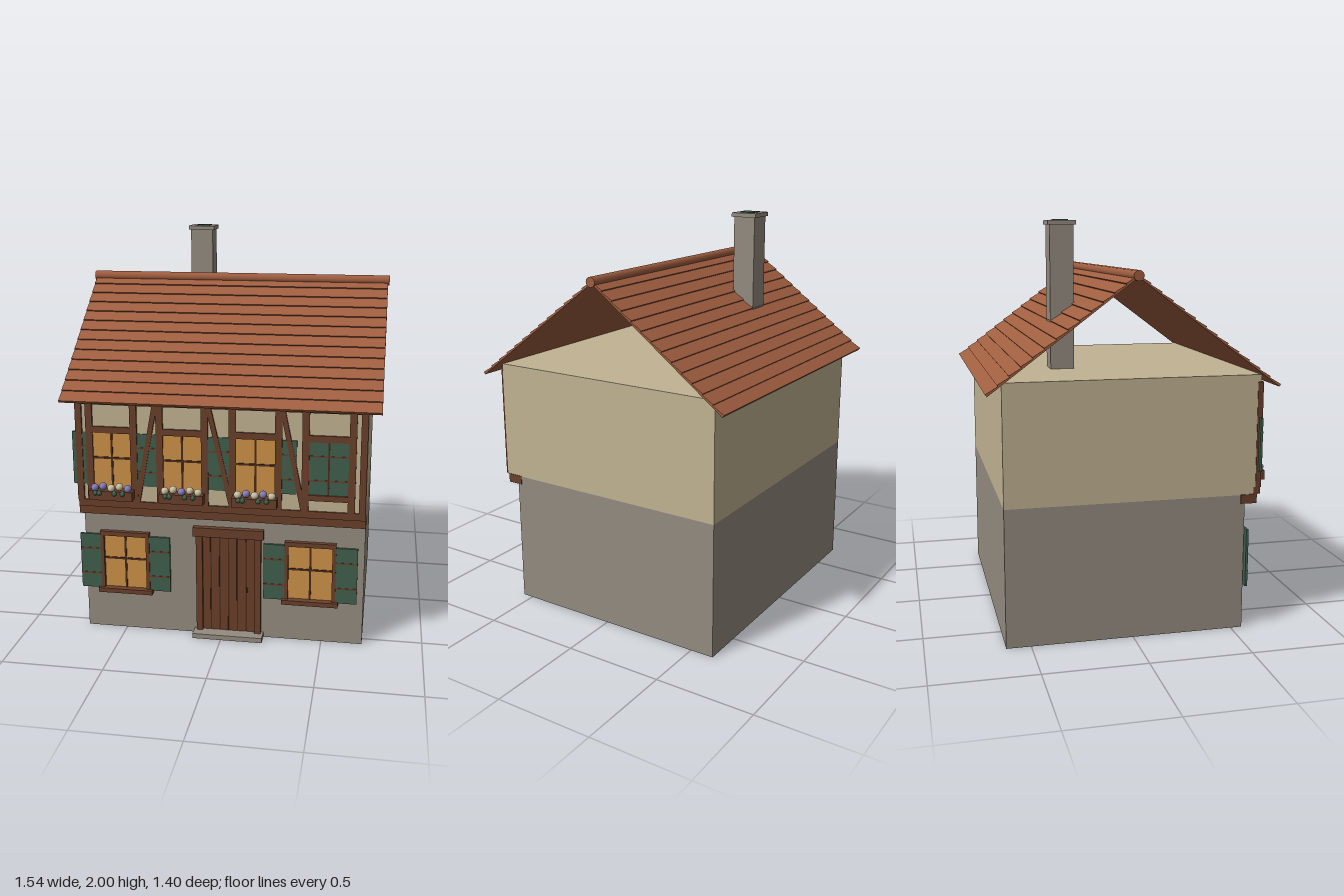
import * as THREE from 'three';

const mat = (name, color) => {
  const m = new THREE.MeshStandardMaterial({ color });
  m.name = name;
  return m;
};

export function createModel() {
  const stone = mat('stone', 0x948c80);
  const plaster = mat('plaster', 0xc2b493);
  const timber = mat('timber', 0x6b402b);
  const darkWood = mat('dark wood', 0x4a2b1c);
  const tile = mat('roof tile', 0xa05e40);
  const green = mat('shutter green', 0x41604e);
  const glass = mat('lit glass', 0xcf9349);
  const violet = mat('violet petals', 0x857cb8);
  const cream = mat('cream petals', 0xcbc0a2);

  const house = new THREE.Group();
  house.name = 'timberFramedHouse';

  const group = (name) => {
    const g = new THREE.Group();
    g.name = name;
    house.add(g);
    return g;
  };
  // Box given by its limits on each axis
  const box = (parent, name, m, x0, x1, y0, y1, z0, z1) => {
    const mesh = new THREE.Mesh(new THREE.BoxGeometry(x1 - x0, y1 - y0, z1 - z0), m);
    mesh.position.set((x0 + x1) / 2, (y0 + y1) / 2, (z0 + z1) / 2);
    mesh.name = name;
    parent.add(mesh);
    return mesh;
  };

  const zLow = 0.557, zUp = 0.626; // front wall planes

  // Walls
  box(house, 'groundFloor', stone, -0.703, 0.703, 0, 0.68, -0.62, zLow);
  box(house, 'upperFloor', plaster, -0.703, 0.703, 0.68, 1.27, -0.62, zUp);

  // Roof: two slopes with stepped tile courses
  const courses = 13, ridgeY = 1.745;
  const along = new THREE.Vector2(0.695, -0.522);
  const up = new THREE.Vector2(0.6, 0.8);
  const at = (t, h) => new THREE.Vector2(0, ridgeY).addScaledVector(along, t).addScaledVector(up, h);
  const profile = [at(0, -0.006)];
  profile.push(at(1, -0.006));
  for (let i = courses; i > 0; i--) profile.push(at(i / courses, 0.008), at((i - 1) / courses, 0.001));
  const slopeGeo = new THREE.ExtrudeGeometry(new THREE.Shape(profile), { depth: 1.525, bevelEnabled: false });
  slopeGeo.translate(0, 0, -0.7625).rotateY(-Math.PI / 2);
  for (const [name, turn] of [['frontRoof', 0], ['backRoof', Math.PI]]) {
    const slope = new THREE.Mesh(slopeGeo, tile);
    slope.name = name;
    slope.rotation.y = turn;
    house.add(slope);
  }
  const ridge = new THREE.Mesh(new THREE.CylinderGeometry(0.025, 0.025, 1.54, 12), tile);
  ridge.name = 'roofRidge';
  ridge.rotation.z = Math.PI / 2;
  ridge.position.y = ridgeY;
  house.add(ridge);

  // Chimney
  const chimney = group('chimney');
  box(chimney, 'chimneyStack', stone, -0.298, -0.18, 1.27, 1.975, -0.325, -0.207);
  box(chimney, 'chimneyCap', stone, -0.308, -0.17, 1.975, 1.996, -0.335, -0.197);
  box(chimney, 'flue', green, -0.276, -0.202, 1.99, 2, -0.303, -0.229);

  // Horizontal beams of the frame
  const frame = group('timberFrame');
  box(frame, 'jettyBeam', timber, -0.708, 0.705, 0.637, 0.682, 0.535, 0.617);
  box(frame, 'sillBeam', timber, -0.703, 0.703, 0.682, 0.717, 0.6, 0.635);
  box(frame, 'topPlate', timber, -0.703, 0.703, 1.2, 1.235, 0.61, 0.634);
  for (const x of [-0.69, 0.685]) box(frame, 'cornerPost', timber, x - 0.016, x + 0.016, 0.717, 1.235, 0.61, 0.637);

  // Diagonal braces
  for (const [xTop, xBottom] of [[-0.308, -0.405], [-0.055, 0.06], [0.3, 0.405]]) {
    const y0 = 0.717, y1 = 1.225;
    const brace = new THREE.Mesh(new THREE.BoxGeometry(0.024, Math.hypot(xTop - xBottom, y1 - y0), 0.012), timber);
    brace.name = 'brace';
    brace.position.set((xTop + xBottom) / 2, (y0 + y1) / 2, 0.63);
    brace.rotation.z = -Math.atan2(xTop - xBottom, y1 - y0);
    frame.add(brace);
  }

  // Shutter panel with two thin battens
  const shutter = (parent, x0, x1, y0, y1, z) => {
    box(parent, 'shutter', green, x0, x1, y0, y1, z - 0.006, z + 0.006);
    for (const f of [0.27, 0.73]) {
      const y = y0 + (y1 - y0) * f;
      box(parent, 'shutterBatten', timber, x0, x1, y - 0.004, y + 0.004, z, z + 0.008);
    }
  };
  // Pane with thin cross bars
  const pane = (parent, x, half, y0, y1, z) => {
    const mid = (y0 + y1) / 2 + 0.015, b = 0.005;
    box(parent, 'glass', glass, x - half, x + half, y0, y1, z, z + 0.004);
    box(parent, 'mullion', darkWood, x - b, x + b, y0, y1, z, z + 0.008);
    box(parent, 'crossBar', darkWood, x - half, x + half, mid - b, mid + b, z, z + 0.008);
  };

  // Upper windows
  const flowerColours = [[violet, violet, cream, cream, violet], [cream, cream, violet, cream, cream], [cream, violet, cream, violet, cream]];
  const petalGeo = new THREE.IcosahedronGeometry(0.019, 2);
  const leafGeo = new THREE.IcosahedronGeometry(0.014, 2);
  [-0.528, -0.18, 0.175, 0.523].forEach((x, i) => {
    const w = group('upperWindow');
    for (const s of [-1, 1]) {
      const px = x + s * 0.11;
      box(w, 'post', timber, px - 0.017, px + 0.017, 0.717, 1.235, 0.61, 0.637);
    }
    box(w, 'lintel', timber, x - 0.1, x + 0.1, 1.06, 1.092, 0.61, 0.636);
    if (i === 3) {
      // Closed window
      for (const s of [0, 1]) shutter(w, x - 0.093 + s * 0.096, x - 0.003 + s * 0.096, 0.8, 1.06, zUp);
      box(w, 'shutterGap', darkWood, x - 0.004, x + 0.004, 0.8, 1.06, zUp, zUp + 0.007);
      box(w, 'windowSill', timber, x - 0.1, x + 0.1, 0.77, 0.798, 0.61, 0.636);
      return;
    }
    pane(w, x, 0.094, 0.78, 1.06, zUp);
    shutter(w, x - 0.197, x - 0.093, 0.797, 1.062, zUp);
    shutter(w, x + 0.093, x + 0.197, 0.797, 1.062, zUp);
    // Flower box
    box(w, 'flowerBox', timber, x - 0.108, x + 0.108, 0.733, 0.78, 0.626, 0.684);
    flowerColours[i].forEach((m, k) => {
      const bloom = new THREE.Mesh(petalGeo, m);
      bloom.name = 'flower';
      bloom.position.set(x - 0.08 + k * 0.041, 0.793 + (k % 2) * 0.008, 0.668);
      w.add(bloom);
    });
    for (const dx of [-0.075, -0.055, 0.02, 0.06]) {
      const leaf = new THREE.Mesh(leafGeo, green);
      leaf.name = 'leaf';
      leaf.position.set(x + dx, 0.769, 0.677);
      w.add(leaf);
    }
  });

  // Ground floor windows
  for (const x of [-0.495, 0.44]) {
    const w = group('lowerWindow');
    pane(w, x, 0.112, 0.22, 0.515, zLow);
    for (const s of [-1, 1]) {
      const jx = x + s * 0.117;
      box(w, 'windowJamb', timber, jx - 0.009, jx + 0.009, 0.22, 0.525, zLow - 0.01, 0.578);
      const sx = x + s * 0.178;
      shutter(w, sx - 0.053, sx + 0.053, 0.22, 0.51, 0.567);
    }
    box(w, 'windowHead', timber, x - 0.126, x + 0.126, 0.507, 0.53, zLow - 0.01, 0.58);
    box(w, 'windowSill', timber, x - 0.14, x + 0.14, 0.203, 0.226, zLow - 0.01, 0.594);
  }

  // Door with planks, surround and step
  const door = group('door');
  const dx = 0.033;
  box(door, 'doorBack', darkWood, dx - 0.145, dx + 0.145, 0.025, 0.535, zLow - 0.01, 0.56);
  for (let i = 0; i < 6; i++) {
    const x = dx - 0.13 + i * 0.0445;
    box(door, 'plank', timber, x, x + 0.0375, 0.027, 0.535, zLow, 0.565);
  }
  for (const s of [-1, 1]) {
    const x = dx + s * 0.147;
    box(door, 'doorJamb', timber, x - 0.016, x + 0.016, 0.025, 0.535, zLow - 0.01, 0.578);
  }
  box(door, 'doorLintel', timber, dx - 0.176, dx + 0.176, 0.533, 0.58, zLow - 0.01, 0.586);
  box(door, 'doorHandle', darkWood, 0.121, 0.131, 0.245, 0.265, 0.56, 0.573);
  box(door, 'doorStep', stone, dx - 0.176, dx + 0.176, 0, 0.025, zLow - 0.01, 0.626);

  return house;
}
